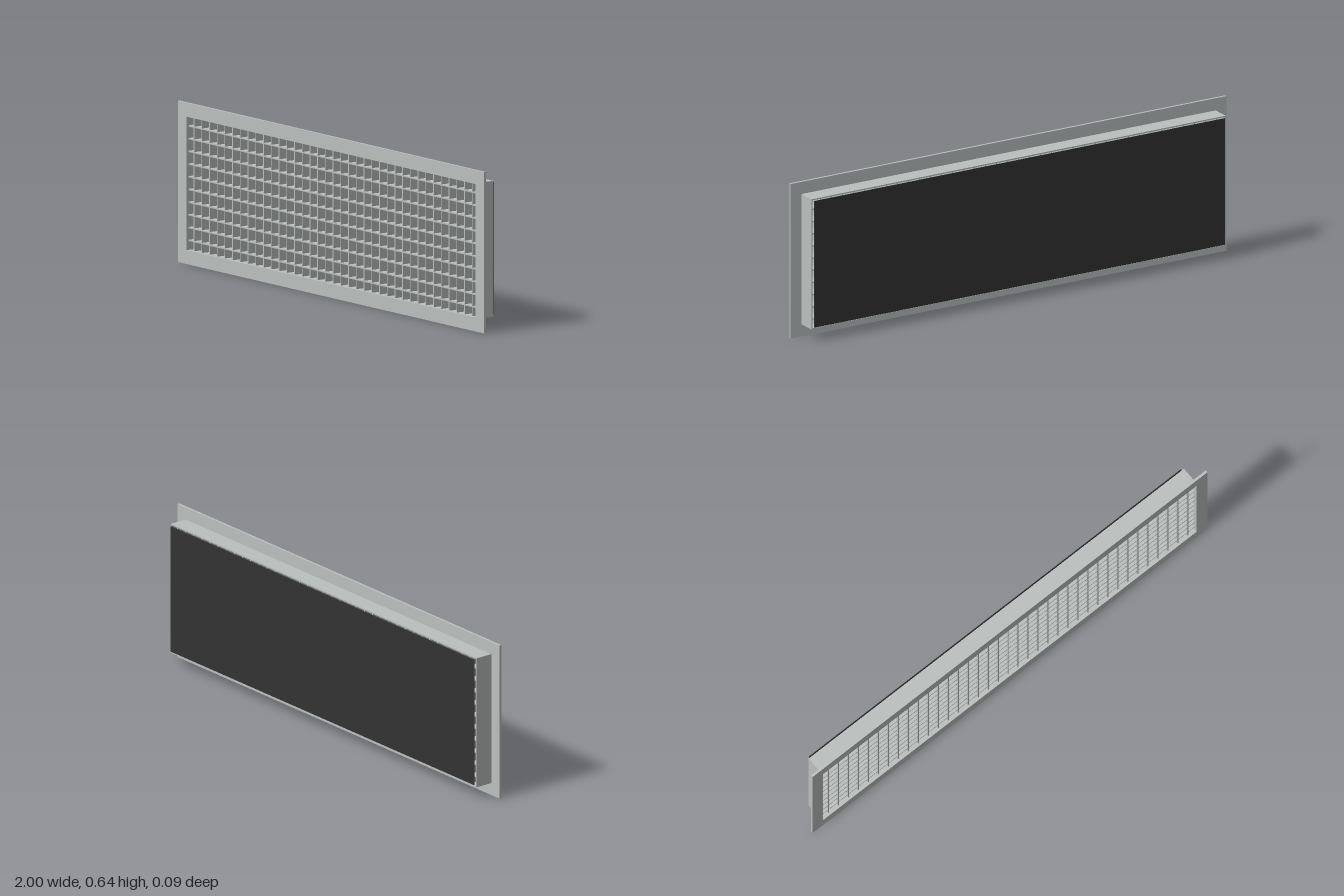
import * as THREE from 'three';

export function createModel() {
  const group = new THREE.Group();
  group.name = 'ventGrille';
  const metal = new THREE.MeshStandardMaterial({ color: 0xbbc0bf });
  metal.name = 'pale grey metal';
  const black = new THREE.MeshStandardMaterial({ color: 0x333333 });
  black.name = 'black backing';

  const H = 0.641, midY = H / 2;
  const outerX = 0.95, outerY = 0.27;      // half size of the duct collar
  const innerX = 0.945, innerY = 0.265;    // half size of the opening
  const backZ = -0.038, flangeZ = 0.036, frontZ = 0.046;

  // Rectangular ring extruded from z0 to z1
  const frame = (name, ox, oy, z0, z1) => {
    const rect = (Type, x, y) => new Type([
      new THREE.Vector2(-x, -y), new THREE.Vector2(x, -y),
      new THREE.Vector2(x, y), new THREE.Vector2(-x, y)]);
    const shape = rect(THREE.Shape, ox, oy);
    shape.holes.push(rect(THREE.Path, innerX, innerY));
    const geo = new THREE.ExtrudeGeometry(shape, { depth: z1 - z0, bevelEnabled: false });
    const mesh = new THREE.Mesh(geo, metal);
    mesh.name = name;
    mesh.position.set(0, midY, z0);
    group.add(mesh);
  };
  frame('frontFlange', 1, midY, flangeZ, frontZ);
  frame('collar', outerX, outerY, backZ, flangeZ);

  const box = (parent, name, material, w, h, d, x, y, z) => {
    const mesh = new THREE.Mesh(new THREE.BoxGeometry(w, h, d), material);
    mesh.name = name;
    mesh.position.set(x, y, z);
    parent.add(mesh);
  };

  // Egg-crate core: crossing thin slats, with narrower cells at the rim
  const core = new THREE.Group();
  core.name = 'eggCrateCore';
  group.add(core);
  const pitch = 0.0505, thick = 0.005;
  const depth = flangeZ - backZ, z = (flangeZ + backZ) / 2;
  for (let i = -18; i <= 18; i++) {
    box(core, 'verticalSlat', metal, thick, innerY * 2, depth, i * pitch, midY, z);
  }
  for (let j = 0; j < 10; j++) {
    box(core, 'horizontalSlat', metal, innerX * 2, thick, depth, 0, midY + (j - 4.5) * pitch, z);
  }

  // Dark sheet held just behind the core
  box(group, 'backPanel', black, 1.884, 0.524, 0.003, 0, midY + 0.001, -0.0445);
  return group;
}
